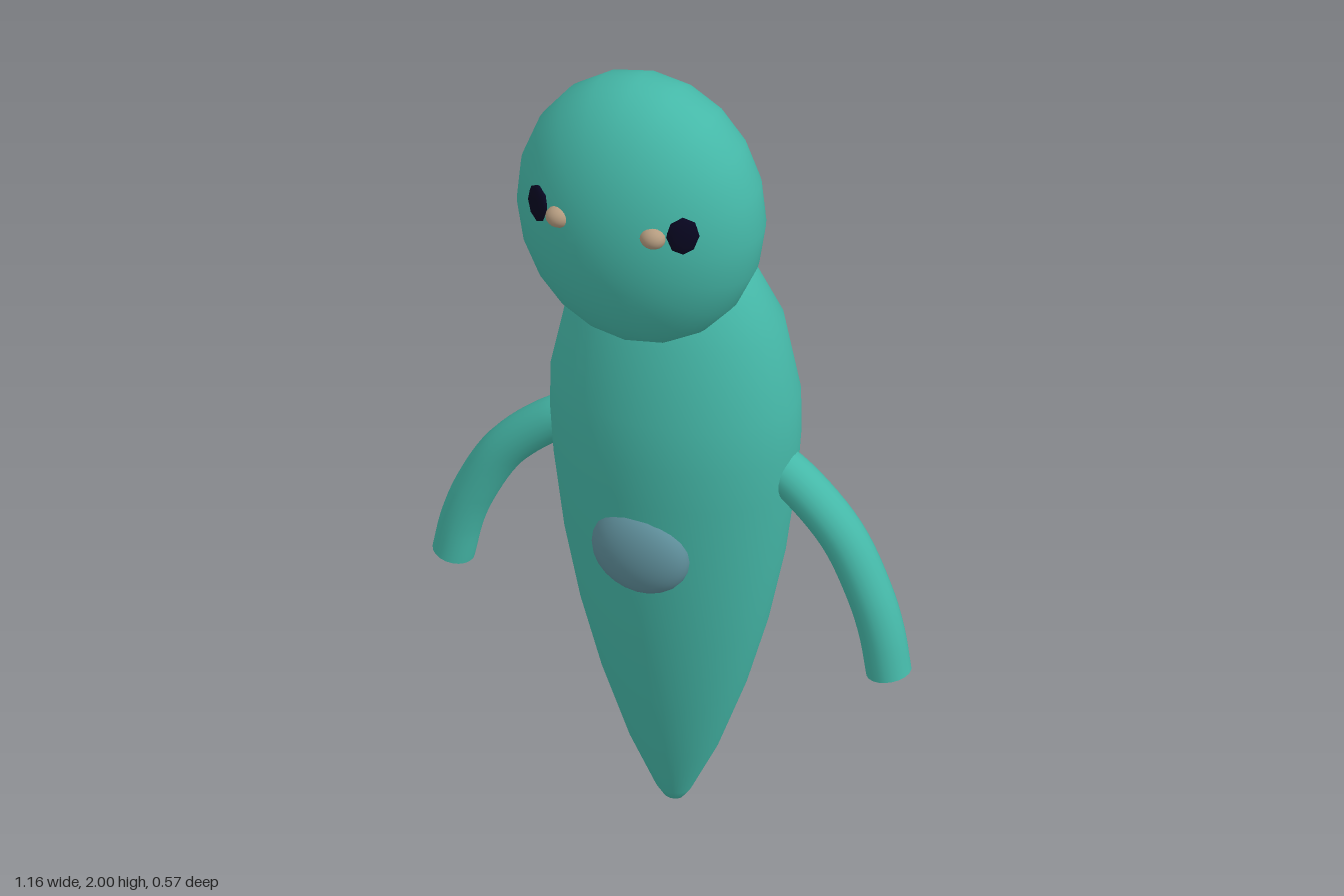
import * as THREE from 'three';

const makeMaterial = (name, color) => {
  const m = new THREE.MeshStandardMaterial({ color });
  m.name = name;
  return m;
};

export function createModel() {
  const teal = makeMaterial('teal', 0x45b8a8);
  const slate = makeMaterial('slate blue', 0x5f8f9b);
  const dark = makeMaterial('near black', 0x080620);
  const tan = makeMaterial('tan', 0xb59c80);

  const model = new THREE.Group();
  model.name = 'figure';

  const add = (name, geometry, material, position = [0, 0, 0]) => {
    const mesh = new THREE.Mesh(geometry, material);
    mesh.name = name;
    mesh.position.set(...position);
    model.add(mesh);
    return mesh;
  };

  // Ellipsoid with its poles along z
  const ellipsoid = (rx, ry, rz, around, along) =>
    new THREE.SphereGeometry(1, around, along).rotateX(Math.PI / 2).scale(rx, ry, rz);

  // Tapering body, oval in section
  const profile = [
    [0, 0], [0.025, 0.008], [0.045, 0.04], [0.112, 0.2], [0.175, 0.4], [0.223, 0.6],
    [0.257, 0.8], [0.277, 1.0], [0.281, 1.1], [0.277, 1.21], [0.237, 1.38],
    [0.17, 1.5], [0.118, 1.55], [0.06, 1.56], [0, 1.56],
  ].map(([r, y]) => new THREE.Vector2(r, y));
  add('body', new THREE.LatheGeometry(profile, 40).scale(1, 1, 0.75), teal, [0, 0, -0.075]);

  add('head', ellipsoid(0.257, 0.29, 0.188, 20, 28), teal, [0, 1.71, 0.097]);
  add('bellyButton', ellipsoid(0.114, 0.106, 0.06, 24, 16), slate, [0, 0.865, 0.105]);

  for (const side of [1, -1]) {
    const label = side > 0 ? 'left' : 'right';

    // Drooping arm with a flat end
    const path = new THREE.CatmullRomCurve3([
      [0.2, 1.065, -0.073], [0.285, 1.025, -0.064], [0.4, 0.925, -0.05],
      [0.475, 0.8, -0.037], [0.51, 0.71, -0.03], [0.534, 0.61, -0.024],
    ].map(([x, y, z]) => new THREE.Vector3(side * x, y, z)));
    add(label + 'Arm', new THREE.TubeGeometry(path, 24, 0.05, 20), teal);
    const end = add(label + 'ArmEnd', new THREE.CircleGeometry(0.05, 20), teal, path.getPoint(1).toArray());
    end.quaternion.setFromUnitVectors(new THREE.Vector3(0, 0, 1), path.getTangent(1));

    // Dark eye and the small bead beside it
    const eye = add(label + 'Eye', ellipsoid(0.033, 0.042, 0.012, 8, 6), dark, [side * 0.153, 1.76, 0.24]);
    eye.rotation.y = side * 0.53;
    add(label + 'EyeBead', ellipsoid(0.026, 0.022, 0.022, 16, 12), tan, [side * 0.1, 1.756, 0.262]);
  }

  return model;
}
